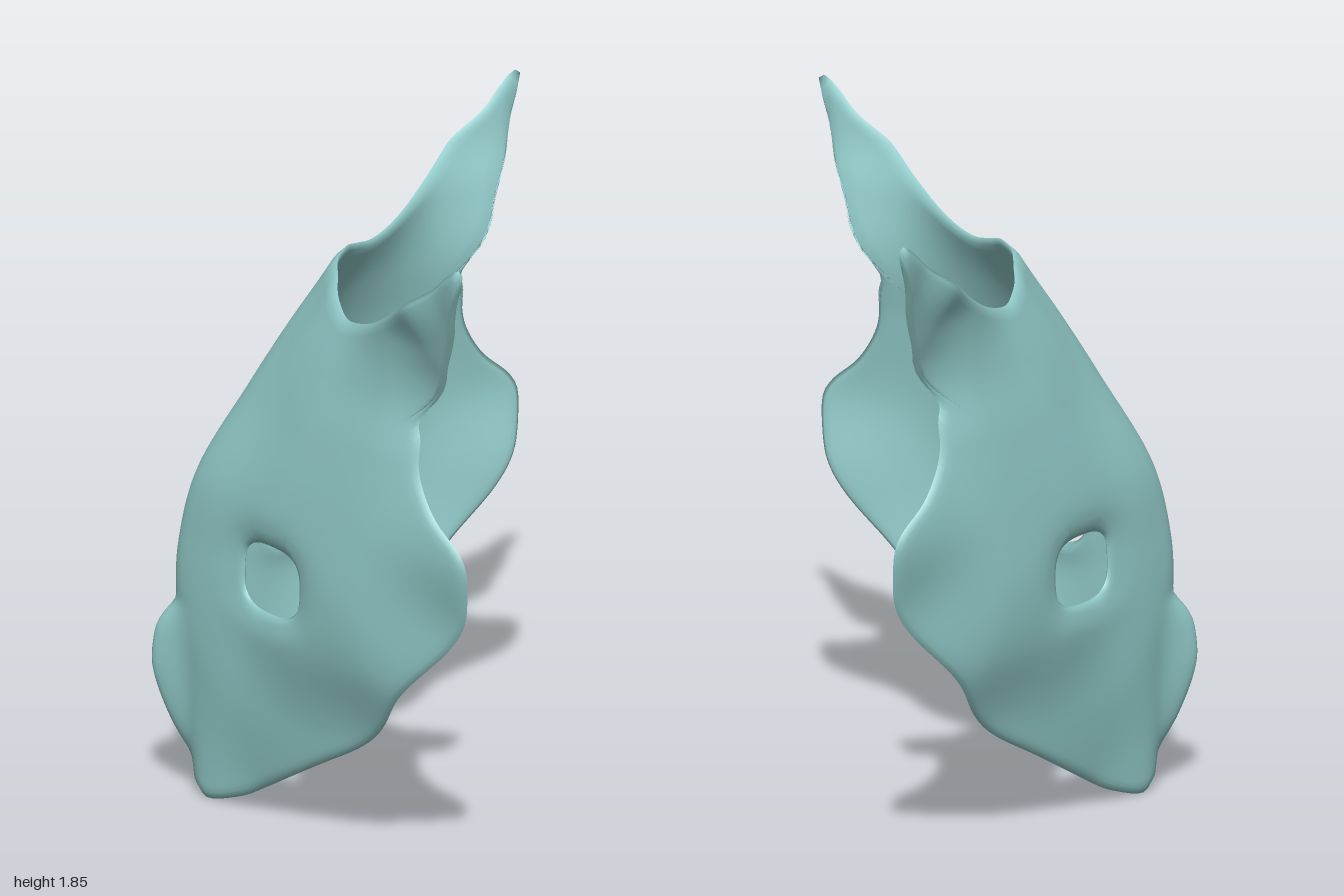
import * as THREE from 'three';
import { mergeVertices } from 'three/addons/utils/BufferGeometryUtils.js';

const material = new THREE.MeshStandardMaterial({ color: 0x93cccb });
material.name = 'pale teal';
material.side = THREE.DoubleSide;

// Smooth curve through (keys, values), flat at the first key when asked
function smooth(keys, values, k, flatStart = false) {
  const n = keys.length;
  let i = 0;
  while (i < n - 2 && k > keys[i + 1]) i++;
  const tangent = (m) => {
    if (m === 0 && flatStart) return 0;
    const a = Math.max(0, m - 1), b = Math.min(n - 1, m + 1);
    return (values[b] - values[a]) / (keys[b] - keys[a]);
  };
  const h = keys[i + 1] - keys[i];
  const t = Math.min(1, Math.max(0, (k - keys[i]) / h));
  const t2 = t * t, t3 = t2 * t;
  return (2 * t3 - 3 * t2 + 1) * values[i] + (t3 - 2 * t2 + t) * h * tangent(i)
    + (3 * t2 - 2 * t3) * values[i + 1] + (t3 - t2) * h * tangent(i + 1);
}

// Depth (x) of the face: one cross-section per height, from centre to side
const SIDE = [0, 0.1, 0.25, 0.45, 0.65, 0.8, 0.9, 1];
const HEIGHTS = [0, 0.3, 0.55, 0.73, 0.95, 1.2, 1.37, 1.55, 1.7, 1.86];
const SECTIONS = [
  [-0.36, -0.33, -0.13, 0.1, 0.33, 0.5, 0.6, 0.7],
  [-0.39, -0.35, -0.21, 0.03, 0.3, 0.47, 0.57, 0.67],
  [-0.415, -0.37, -0.23, -0.06, 0.17, 0.42, 0.53, 0.63],
  [-0.41, -0.36, -0.235, -0.07, 0.13, 0.4, 0.53, 0.62],
  [-0.355, -0.32, -0.215, -0.06, 0.14, 0.34, 0.475, 0.6],
  [-0.21, -0.19, -0.12, 0, 0.18, 0.38, 0.5, 0.6],
  [-0.105, -0.09, -0.045, 0.06, 0.22, 0.43, 0.5, 0.55],
  [0.015, 0.025, 0.055, 0.13, 0.22, 0.36, 0.47, 0.5],
  [0.1, 0.11, 0.13, 0.16, 0.2, 0.28, 0.41, 0.48],
  [0.2, 0.2, 0.2, 0.2, 0.24, 0.3, 0.37, 0.47],
];
const EYE = { z: 0.365, y: 0.73, rz: 0.105, ry: 0.1 };

function depth(z, y, eyeDistance) {
  let x = smooth(HEIGHTS, SECTIONS.map((s) => smooth(SIDE, s, z, true)), y);
  // Narrow beak ridge
  if (y > 0.1 && y < 0.56) {
    const rise = smooth([0.1, 0.2, 0.35, 0.46, 0.51, 0.56], [0, 0.05, 0.087, 0.07, 0.045, 0], y);
    x -= rise * Math.exp(-((z / (0.03 + 0.04 * y)) ** 2));
  }
  // Slightly sunken eye
  return x + 0.015 * Math.exp(-((eyeDistance / 0.05) ** 2));
}

// Half outline, from chin round the cheek and ear to the brow (z, y)
const RIM = [
  [0, 0.035], [0.05, 0.02], [0.1, 0], [0.18, 0.03], [0.25, 0.08], [0.4, 0.19], [0.55, 0.31],
  [0.7, 0.5], [0.8, 0.66], [0.865, 0.8], [0.895, 0.93], [0.88, 0.98], [0.82, 1.06], [0.77, 1.16],
  [0.745, 1.27], [0.73, 1.32], [0.745, 1.37], [0.835, 1.53], [0.93, 1.7], [0.998, 1.84],
  [0.985, 1.85], [0.95, 1.825], [0.8, 1.69], [0.65, 1.6], [0.52, 1.545], [0.4, 1.518],
  [0.3, 1.535], [0.15, 1.57], [0, 1.58],
];

function createShell() {
  const rim = new THREE.CatmullRomCurve3(RIM.map(([z, y]) => new THREE.Vector3(z, y, 0)))
    .getSpacedPoints(170);
  const loop = rim.slice();
  const CENTRE = 80, RINGS = 34, THICK = 0.012, ROUND = 0.03;
  for (let i = 1; i < CENTRE; i++) {
    loop.push(new THREE.Vector3(0, THREE.MathUtils.lerp(1.58, 0.035, i / CENTRE), 0));
  }

  // Rounded-square eye hole, matched to the loop by direction
  const hole = loop.map((p) => {
    const a = Math.atan2(p.y - EYE.y, p.x - EYE.z);
    const c = Math.cos(a), s = Math.sin(a);
    const r = 1 / Math.cbrt(Math.abs(c / EYE.rz) ** 3 + Math.abs(s / EYE.ry) ** 3);
    return new THREE.Vector3(EYE.z + r * c, EYE.y + r * s, 0);
  });

  const positions = [], index = [], n = loop.length;
  const q = new THREE.Vector3();
  for (const mirror of [1, -1]) {
    for (const sheet of [-1, 1]) {
      const start = positions.length / 3;
      for (let i = 0; i <= RINGS; i++) {
        for (let j = 0; j < n; j++) {
          q.lerpVectors(hole[j], loop[j], i / RINGS);
          const eyeDistance = q.distanceTo(hole[j]);
          // Thickness rounds off to nothing at the rim and the eye
          let d = eyeDistance;
          for (const p of rim) d = Math.min(d, q.distanceTo(p));
          const e = Math.min(1, d / ROUND);
          const half = THICK * Math.sqrt(1 - (1 - e) ** 2);
          positions.push(depth(q.x, q.y, eyeDistance) + sheet * half, q.y, mirror * q.x);
        }
      }
      for (let i = 0; i < RINGS; i++) {
        for (let j = 0; j < n; j++) {
          const k = (j + 1) % n;
          const a = start + i * n + j, b = a + n;
          const d = start + i * n + k, c = d + n;
          if (sheet * mirror < 0) index.push(a, b, c, a, c, d);
          else index.push(a, c, b, a, d, c);
        }
      }
    }
  }
  let geometry = new THREE.BufferGeometry();
  geometry.setAttribute('position', new THREE.Float32BufferAttribute(positions, 3));
  geometry.setIndex(index);
  geometry = mergeVertices(geometry, 1e-4);
  geometry.computeVertexNormals();
  return geometry;
}

export function createModel() {
  const group = new THREE.Group();
  group.name = 'owlMask';
  const shell = new THREE.Mesh(createShell(), material);
  shell.name = 'maskShell';
  group.add(shell);
  return group;
}
